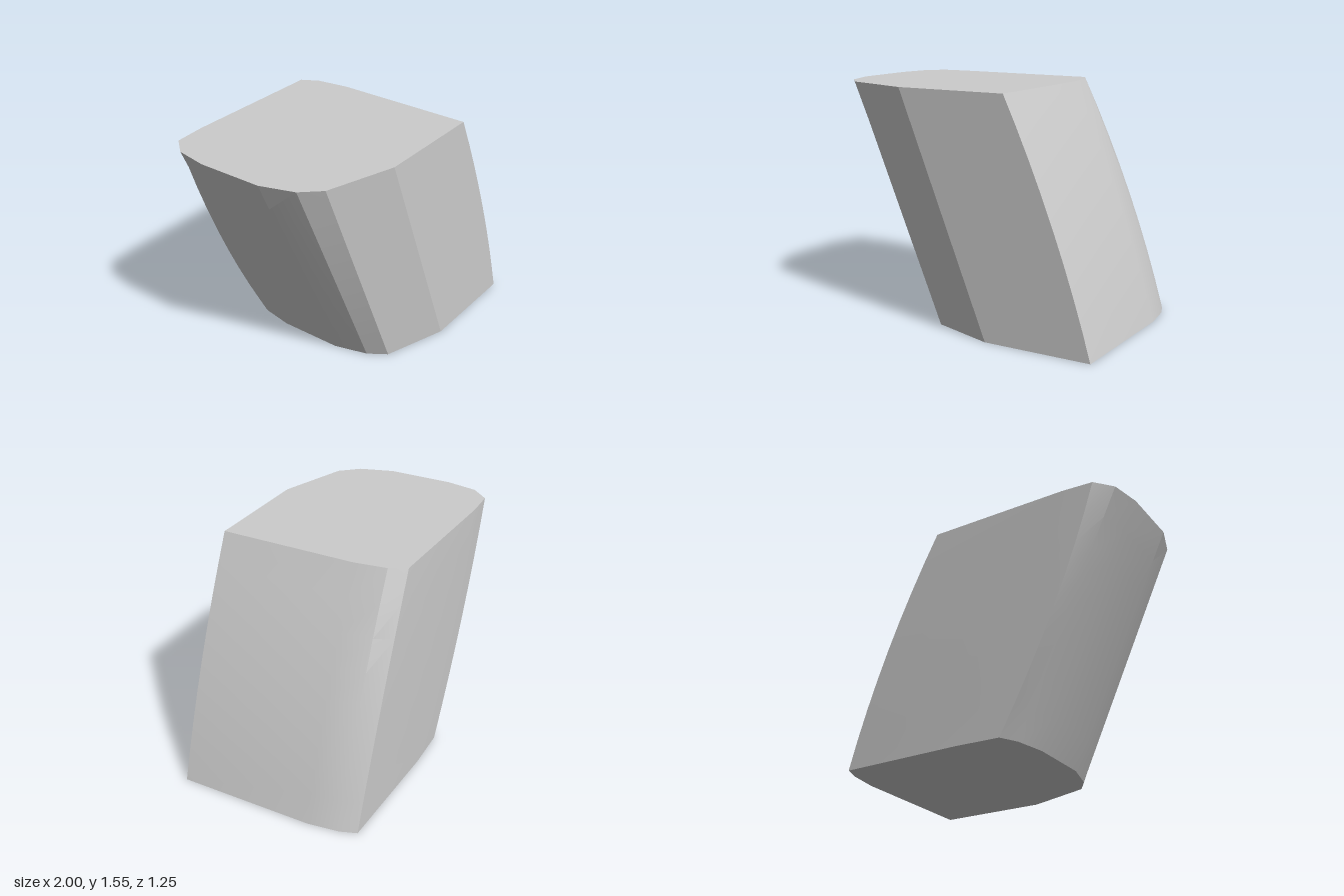
import * as THREE from 'three';
import { toCreasedNormals } from 'three/addons/utils/BufferGeometryUtils.js';

const HEIGHT = 1.55;
const LEVELS = 8;

// Outline corners: x at bottom, x at top, z, and mid-height bulge in x and z
const OUTLINE = [
  [0.27, -0.36, 0.625, 0, 0],
  [1, 0.4, 0.625, 0.04, 0],
  [1, 0.4, -0.29, 0.04, 0],
  [0.97, 0.37, -0.5, 0.04, 0],
  [0.93, 0.31, -0.608, 0.04, -0.01],
  [0.1, -0.65, -0.627, 0, 0],
  [-0.2, -0.86, -0.615, -0.05, 0],
  [-0.26, -0.96, -0.5, 0, 0],
  [-0.3, -1, -0.29, 0, 0],
  [-0.3, -1, 0.14, 0, 0],
  [-0.24, -0.93, 0.36, 0, 0],
  [-0.16, -0.82, 0.48, 0, 0],
];

// Leaning block lofted from the bottom outline to the top outline
function leaningBlock() {
  const n = OUTLINE.length;
  const positions = [];
  const index = [];
  for (let level = 0; level <= LEVELS; level++) {
    const t = level / LEVELS;
    const bulge = 4 * t * (1 - t);
    for (const [x0, x1, z, bx, bz] of OUTLINE) {
      positions.push(x0 + (x1 - x0) * t + bx * bulge, HEIGHT * t, z + bz * bulge);
    }
  }
  // Side walls
  for (let level = 0; level < LEVELS; level++) {
    for (let i = 0; i < n; i++) {
      const a = level * n + i;
      const b = level * n + (i + 1) % n;
      index.push(a, b, b + n, a, b + n, a + n);
    }
  }
  // Flat bottom and top
  const top = LEVELS * n;
  for (let i = 1; i < n - 1; i++) {
    index.push(0, i + 1, i, top, top + i, top + i + 1);
  }
  const geometry = new THREE.BufferGeometry();
  geometry.setAttribute('position', new THREE.Float32BufferAttribute(positions, 3));
  geometry.setIndex(index);
  return toCreasedNormals(geometry, 0.28);
}

export function createModel() {
  const group = new THREE.Group();
  group.name = 'leaningBlock';
  const body = new THREE.Mesh(
    leaningBlock(),
    new THREE.MeshStandardMaterial({ color: 0xcccccc })
  );
  body.name = 'body';
  group.add(body);
  return group;
}
